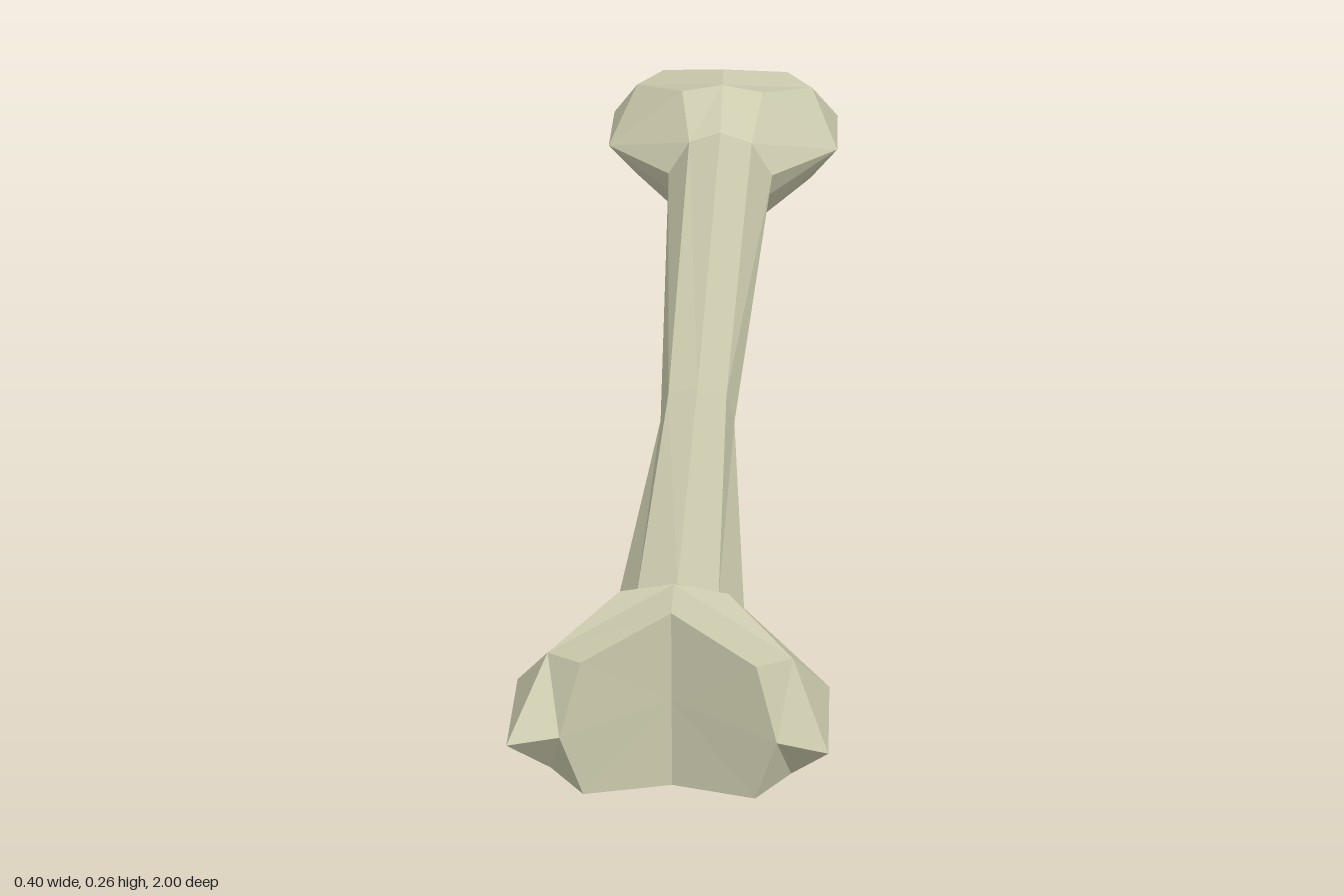
import * as THREE from 'three';

const CENTRE_Y = 0.134;

// Takes faces of one quarter (+x, +y), mirrors them over x and y, and flips corners where needed
function quarterMirrored(faces, sz, material, name) {
  const pos = [];
  for (const sx of [1, -1]) {
    for (const sy of [1, -1]) {
      const flip = sx * sy * sz < 0;
      for (const f of faces) {
        for (let i = 1; i < f.length - 1; i++) {
          const tri = flip ? [f[0], f[i + 1], f[i]] : [f[0], f[i], f[i + 1]];
          for (const [x, y, z] of tri) pos.push(x * sx, y * sy, z * sz);
        }
      }
    }
  }
  const geo = new THREE.BufferGeometry();
  geo.setAttribute('position', new THREE.Float32BufferAttribute(pos, 3));
  geo.computeVertexNormals();
  const mesh = new THREE.Mesh(geo, material);
  mesh.name = name;
  mesh.position.y = CENTRE_Y;
  return mesh;
}

// Quarter of an eight-sided shaft ring: top, shoulder, side
const ring = (z, top, sx, sy, side) => [[0, top, z], [sx, sy, z], [side, 0, z]];

export function createModel() {
  const group = new THREE.Group();
  group.name = 'bone';
  const bone = new THREE.MeshStandardMaterial({ color: 0xcccbae, flatShading: true });
  bone.name = 'bone ivory';

  // Shaft, narrowest a little forward of the middle
  const end = ring(0.735, 0.079, 0.054, 0.06, 0.09);
  const waist = ring(0.15, 0.056, 0.043, 0.046, 0.055);
  const rear = end.map(([x, y, z]) => [x, y, -z]);
  const shaft = [];
  for (const [a, b] of [[end, waist], [waist, rear]]) {
    for (let i = 0; i < 2; i++) shaft.push([a[i], a[i + 1], b[i + 1], b[i]]);
  }
  group.add(quarterMirrored(shaft, 1, bone, 'shaft'));

  // Notched knuckle, quarter outline
  const notchMid = [0, 0, 0.89], notchTop = [0, 0.132, 0.89];
  const innerTip = [0.137, 0, 0.98], innerTop = [0.11, 0.1, 0.96];
  const outerTip = [0.202, 0, 1], outerTop = [0.155, 0.088, 0.92];
  const outerBack = [0.202, 0, 0.85];
  const crown = [0, 0.132, 0.82], shoulder = [0.07, 0.119, 0.82];
  const knuckle = [
    [notchMid, innerTip, innerTop, notchTop],
    [innerTip, outerTip, outerTop, innerTop],
    [outerTip, outerBack, outerTop],
    [outerBack, end[2], end[1]],
    [outerBack, end[1], shoulder],
    [outerBack, shoulder, outerTop],
    [outerTop, shoulder, crown, notchTop, innerTop],
    [crown, shoulder, end[1], end[0]],
  ];
  group.add(quarterMirrored(knuckle, 1, bone, 'frontKnuckle'));
  group.add(quarterMirrored(knuckle, -1, bone, 'backKnuckle'));
  return group;
}
